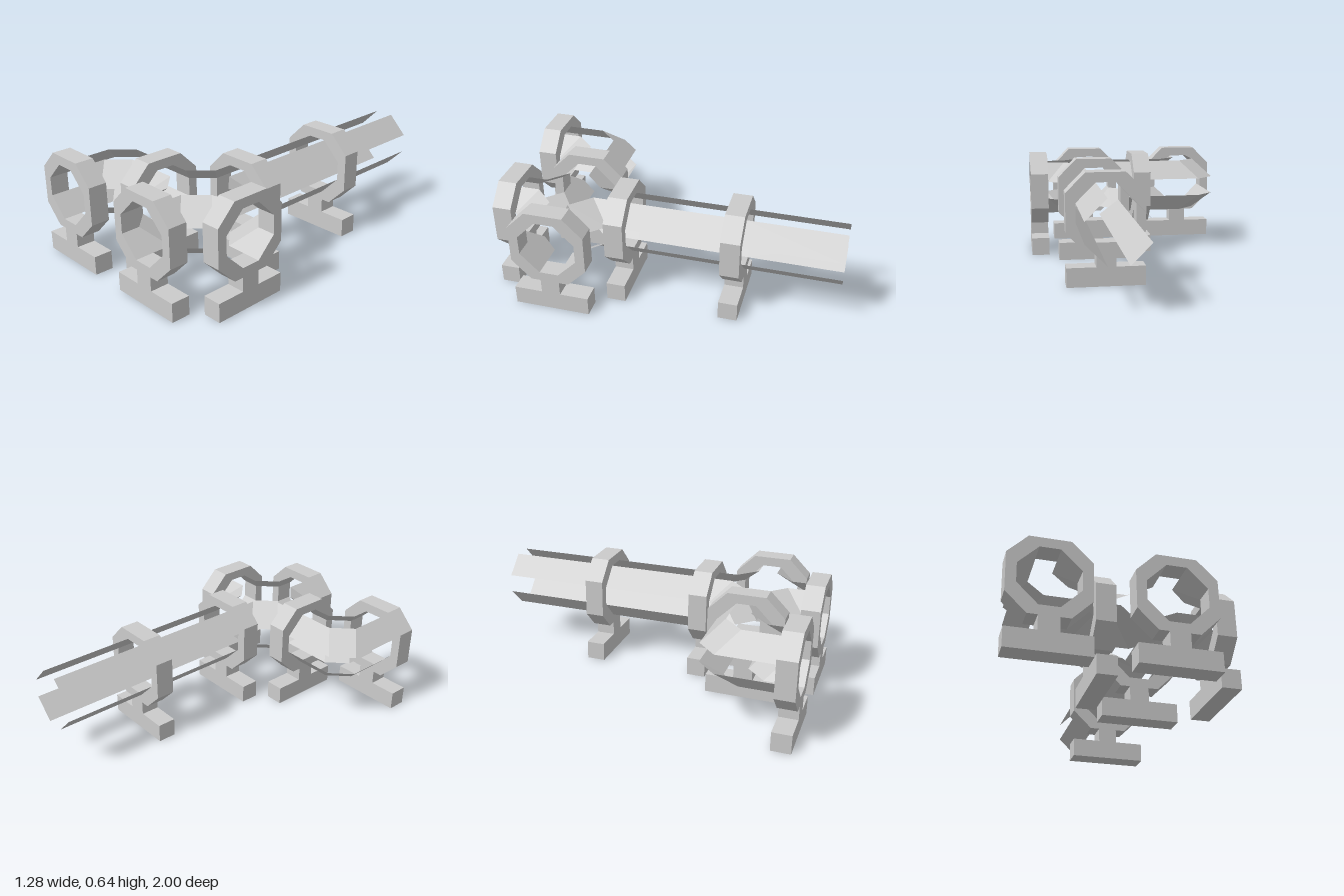
import * as THREE from 'three';

// All parts are laid out on a modular grid; the group is scaled by UNIT at the end.
const UNIT = 1 / 18;
const AXIS_Y = 7.5; // height of the tunnel axis

const solid = new THREE.MeshStandardMaterial({ color: 0xcccccc, flatShading: true });
const thin = new THREE.MeshStandardMaterial({ color: 0xcccccc, flatShading: true, side: THREE.DoubleSide });

// Counter-clockwise octagon with long chamfers: half width w, half flat f
const octagon = (w, f) => [[-f, w], [-w, f], [-w, -f], [-f, -w], [f, -w], [w, -f], [w, f], [f, w]]
  .map(([x, y]) => new THREE.Vector2(x, y));

function addMesh(parent, name, geometry, material, y = 0) {
  const mesh = new THREE.Mesh(geometry, material);
  mesh.name = name;
  mesh.position.y = y;
  parent.add(mesh);
  return mesh;
}

// Octagonal ring on a post and foot
function ringStand(x, z, sideways) {
  const stand = new THREE.Group();
  stand.name = 'ringStand';
  const shape = new THREE.Shape(octagon(4, 2));
  shape.holes.push(new THREE.Path(octagon(3, 1)));
  const ring = new THREE.ExtrudeGeometry(shape, { depth: 2, bevelEnabled: false }).translate(0, 0, -1);
  addMesh(stand, 'ring', ring, solid, AXIS_Y);
  addMesh(stand, 'post', new THREE.BoxGeometry(2, 1.5, 2), solid, 2.75);
  addMesh(stand, 'foot', new THREE.BoxGeometry(8, 2, 2), solid, 1);
  stand.position.set(x, 0, z);
  if (sideways) stand.rotation.y = Math.PI / 2;
  return stand;
}

// Thin slanted panel strip between a high path (y = 3) and a low path (y = 1), given in plan as [x, z]
function stripGeometry(high, low) {
  const points = [];
  const at = ([x, z], y) => new THREE.Vector3(x, y, z);
  const addTriangle = (a, b, c) => {
    if (new THREE.Triangle(a, b, c).getArea() > 1e-6) points.push(a, b, c);
  };
  for (let i = 0; i < high.length - 1; i++) {
    const a = at(high[i], 3), b = at(high[i + 1], 3);
    const c = at(low[i + 1], 1), d = at(low[i], 1);
    addTriangle(a, b, c);
    addTriangle(a, c, d);
  }
  const geometry = new THREE.BufferGeometry().setFromPoints(points);
  geometry.computeVertexNormals();
  return geometry;
}

// Upper strip and its mirror image below the tunnel axis
function stripPair(name, geometry, x, z, sx = 1, sz = 1) {
  const pair = new THREE.Group();
  pair.name = name;
  for (const sy of [1, -1]) {
    addMesh(pair, sy > 0 ? 'upperStrip' : 'lowerStrip', geometry, thin).scale.set(sx, sy, sz);
  }
  pair.position.set(x, AXIS_Y, z);
  return pair;
}

export function createModel() {
  const model = new THREE.Group();
  model.name = 'ringTunnel';

  // Rings across the z axis, then rings across the x axis
  for (const [x, z] of [[-7.5, 17], [4.5, 17], [4.5, 5], [4.5, -7]]) model.add(ringStand(x, z, false));
  for (const x of [-1.5, 10.5]) model.add(ringStand(x, 11, true));

  // Bend strips, drawn for a bend joining the +x and +z arms
  const innerBend = stripGeometry(
    [[5, 1], [3, 1], [1, 3], [1, 5]],
    [[5, 3], [5, 3], [3, 5], [3, 5]]);
  const outerBend = stripGeometry(
    [[-1, 5], [-1, 1], [1, -1], [5, -1]],
    [[-3, 5], [-3, -1], [-1, -3], [5, -3]]);

  // Elbow on the right
  model.add(stripPair('elbowInner', innerBend, -7.5, 11));
  model.add(stripPair('elbowOuter', outerBend, -7.5, 11));

  // Four-way crossing: one inner bend in each corner
  for (const sx of [1, -1]) {
    for (const sz of [1, -1]) model.add(stripPair('crossingCorner', innerBend, 4.5, 11, sx, sz));
  }

  // Straight run to the back, split at the last ring
  for (const [z0, z1] of [[4, -6], [-8, -18]]) {
    const straight = stripGeometry([[1, z0], [1, z1]], [[3, z0], [3, z1]]);
    for (const sx of [1, -1]) model.add(stripPair('straightRun', straight, 4.5, 0, sx));
  }

  model.scale.setScalar(UNIT);
  return model;
}
